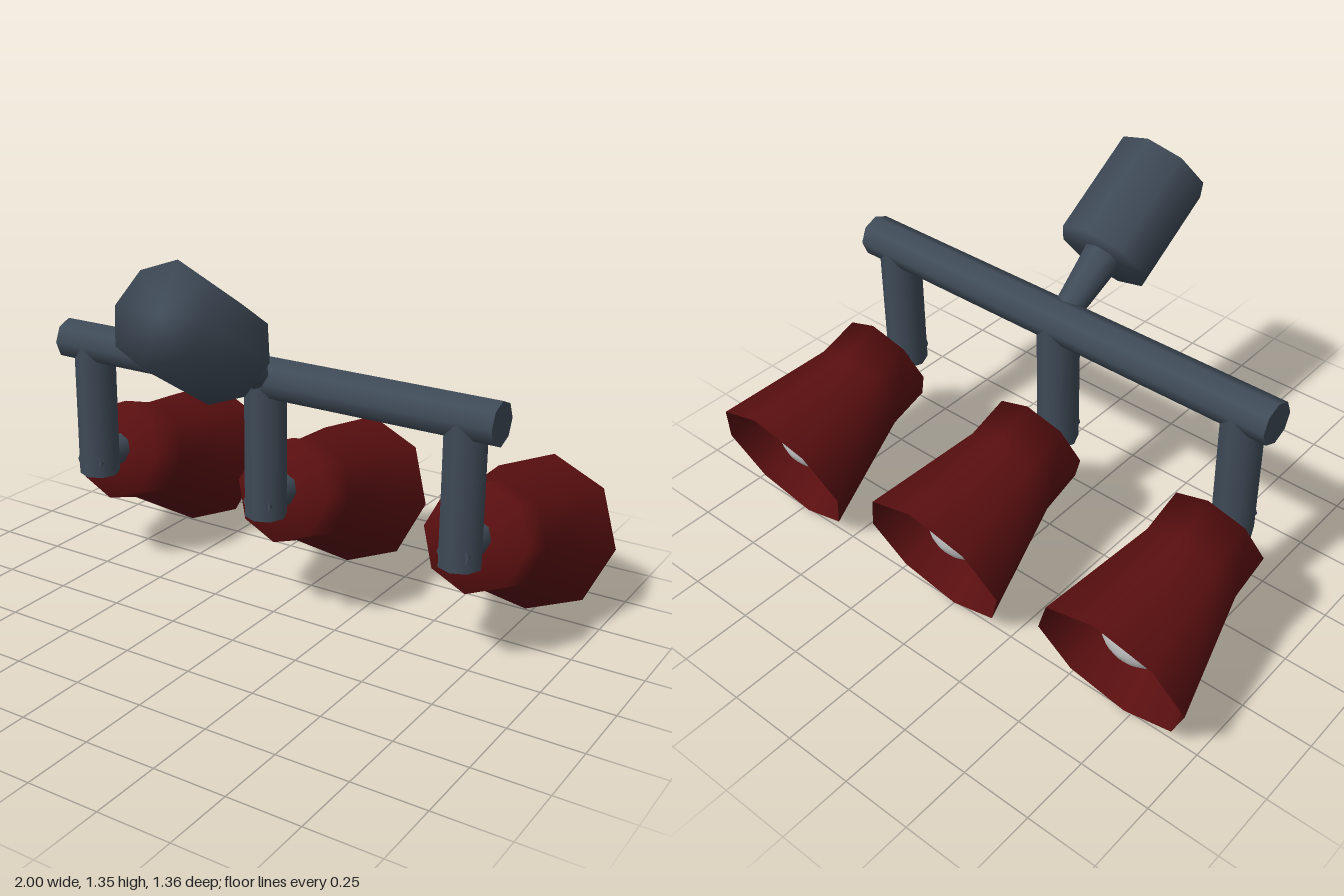
import * as THREE from 'three';

const SIDES = 8;
const slate = new THREE.MeshStandardMaterial({ color: 0x3f4b58 });
const red = new THREE.MeshStandardMaterial({ color: 0x5a0f10, side: THREE.DoubleSide });
const grey = new THREE.MeshStandardMaterial({ color: 0xcccccc });

// Solid of revolution from [radius, height] pairs
function lathe(name, profile, material, sides = SIDES) {
  const points = profile.map(([r, h]) => new THREE.Vector2(r, h));
  const mesh = new THREE.Mesh(new THREE.LatheGeometry(points, sides), material);
  mesh.name = name;
  return mesh;
}

// Eight-sided rod between two points in the yz plane, given as [y, z]
function rod(name, [y0, z0], [y1, z1], r0, r1 = r0) {
  const length = Math.hypot(y1 - y0, z1 - z0);
  const mesh = new THREE.Mesh(new THREE.CylinderGeometry(r1, r0, length, SIDES), slate);
  mesh.name = name;
  mesh.position.set(0, (y0 + y1) / 2, (z0 + z1) / 2);
  mesh.rotation.x = Math.atan2(z1 - z0, y1 - y0);
  return mesh;
}

// One lamp: drop arm, elbow, tilted shade and bulb
function createLamp() {
  const lamp = new THREE.Group();
  lamp.add(rod('dropArm', [0.39, 0.046], [0.877, 0.046], 0.072));
  lamp.add(rod('elbow', [0.445, 0.1], [0.445, -0.08], 0.055));

  const head = new THREE.Group();
  head.name = 'lampHead';
  head.position.set(0, 0.4425, -0.0575);
  head.rotation.x = Math.atan2(-0.535, -0.175);
  head.add(lathe('shade', [[0, 0], [0.182, 0], [0.182, 0.156], [0.277, 0.563]], red));

  // Rounded bulb on a short neck
  const bulb = [[0.06, 0.01], [0.06, 0.3]];
  for (let i = 0; i <= 10; i++) {
    const a = -Math.PI / 3 + (i / 10) * (Math.PI * 5 / 6);
    bulb.push([Math.max(0, 0.125 * Math.cos(a)), 0.41 + 0.1 * Math.sin(a)]);
  }
  head.add(lathe('bulb', bulb, grey, 16));
  lamp.add(head);
  return lamp;
}

export function createModel() {
  const model = new THREE.Group();
  model.name = 'spotlightBar';

  // Horizontal bar
  const bar = new THREE.Mesh(new THREE.CylinderGeometry(0.073, 0.073, 1.68, SIDES), slate);
  bar.name = 'crossBar';
  bar.rotation.z = Math.PI / 2;
  bar.position.set(0, 0.877, 0.046);
  model.add(bar);

  // Tapered stem and mounting canister
  model.add(rod('mountStem', [0.87, 0.05], [1.02, 0.285], 0.045, 0.069));
  const mount = lathe('mountCanister', [[0, 0], [0.168, 0], [0.168, 0.375], [0, 0.375]], slate);
  mount.position.set(0, 1.0125, 0.275);
  mount.rotation.x = Math.atan2(0.3175, 0.2);
  model.add(mount);

  // Three matching lamps
  ['rightLamp', 'middleLamp', 'leftLamp'].forEach((name, i) => {
    const lamp = createLamp();
    lamp.name = name;
    lamp.position.x = (i - 1) * 0.725;
    model.add(lamp);
  });
  return model;
}
